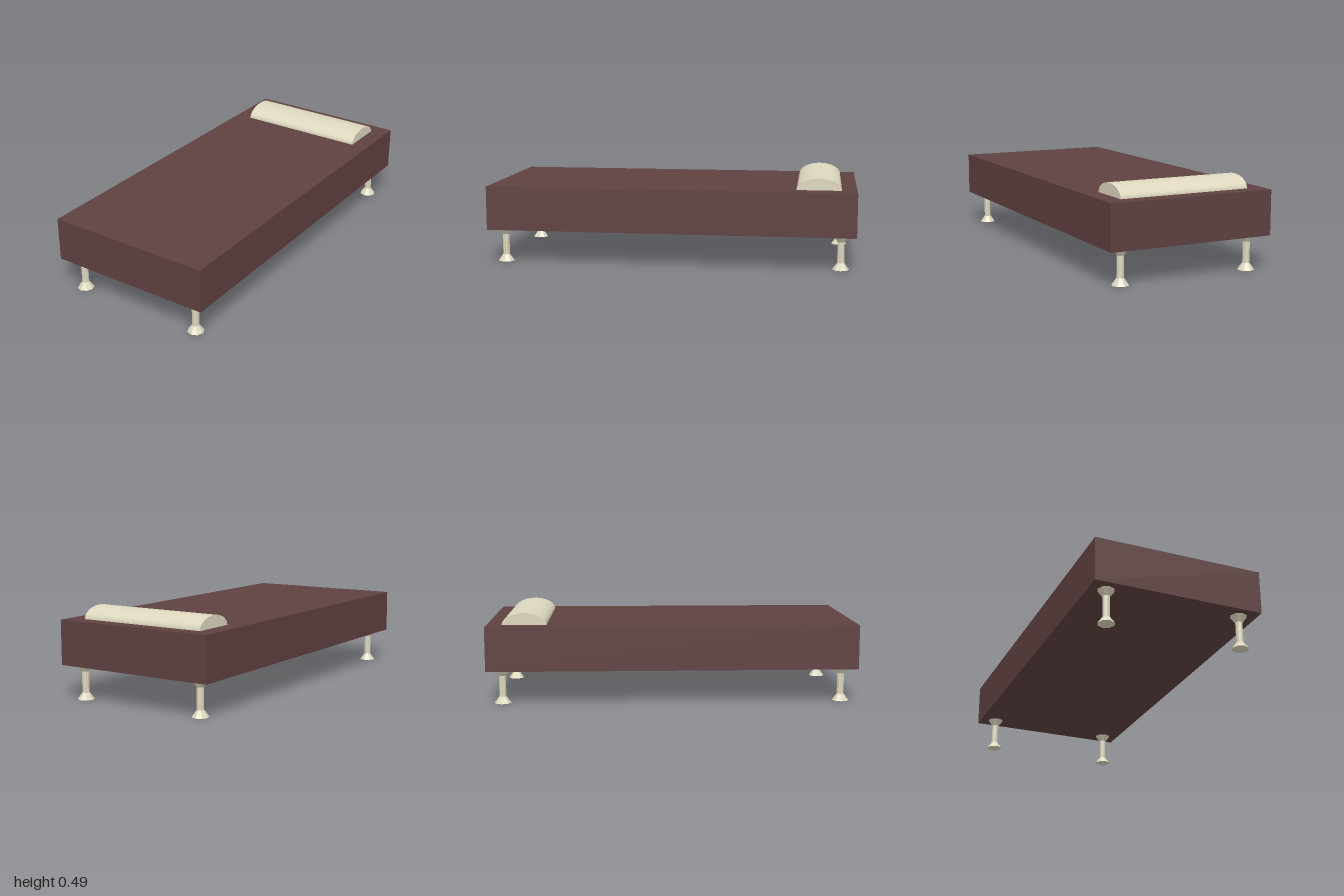
import * as THREE from 'three';

export function createModel() {
  const group = new THREE.Group();
  const upholstery = new THREE.MeshStandardMaterial({ color: 0x5f4040 });
  upholstery.name = 'brown upholstery';
  const cream = new THREE.MeshStandardMaterial({ color: 0xddd7be });
  cream.name = 'cream';
  const creamFlat = cream.clone();
  creamFlat.flatShading = true;
  creamFlat.name = 'cream faceted';

  const add = (name, geometry, material, x, y, z) => {
    const mesh = new THREE.Mesh(geometry, material);
    mesh.name = name;
    mesh.position.set(x, y, z);
    group.add(mesh);
  };

  // Thick slab mattress
  const bottom = 0.185, top = 0.424;
  add('mattress', new THREE.BoxGeometry(0.916, top - bottom, 2), upholstery, 0, (top + bottom) / 2, 0);

  // Half-round bolster pillow lying across the head end
  const pillow = new THREE.CylinderGeometry(1, 1, 0.73, 32, 1, false, 0, Math.PI);
  pillow.rotateZ(Math.PI / 2);
  pillow.scale(1, 0.064, 0.12);
  add('pillow', pillow, cream, 0, top, -0.798);

  // Eight-sided spool legs, flared at both ends
  const profile = [[0, 0], [0.045, 0], [0.019, 0.036], [0.019, 0.15], [0.045, bottom], [0, bottom]]
    .map(([r, y]) => new THREE.Vector2(r, y));
  const leg = new THREE.LatheGeometry(profile, 8);
  for (const x of [-1, 1]) {
    for (const z of [-1, 1]) {
      const name = (z > 0 ? 'front' : 'back') + (x > 0 ? 'Left' : 'Right') + 'Leg';
      add(name, leg, creamFlat, x * 0.367, 0, z * 0.92);
    }
  }
  return group;
}
